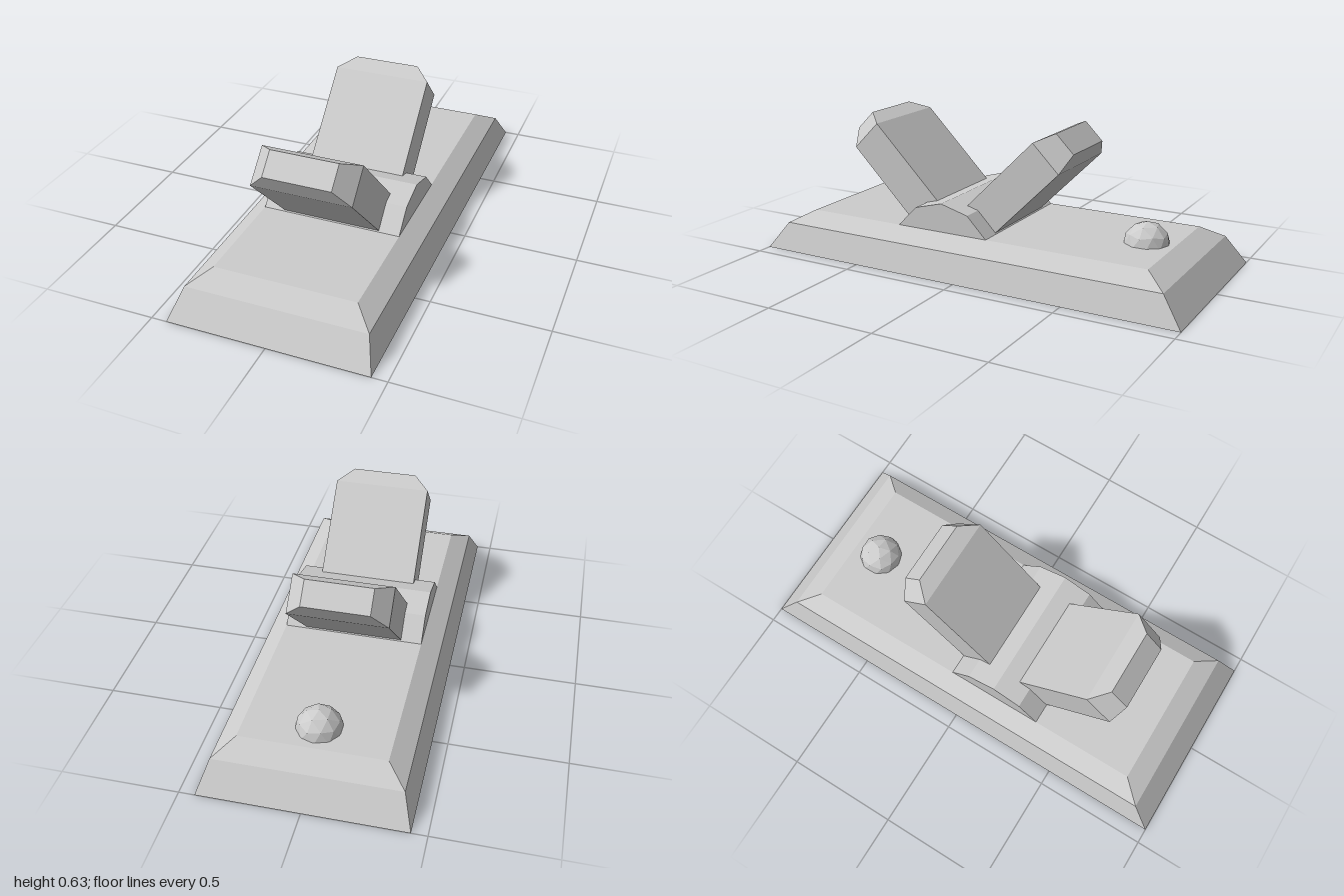
import * as THREE from 'three';

const material = new THREE.MeshStandardMaterial({ color: 0xcccccc, flatShading: true });

// Closed stack of rectangular sections [halfWidth, halfDepth, y], bottom to top.
function rectLoft(sections) {
  const positions = [];
  const rings = sections.map(([w, d, y]) => [[-w, y, d], [w, y, d], [w, y, -d], [-w, y, -d]]);
  const quad = (a, b, c, d) => positions.push(...a, ...b, ...c, ...a, ...c, ...d);
  for (let r = 0; r < rings.length - 1; r++) {
    for (let i = 0; i < 4; i++) {
      const j = (i + 1) % 4;
      quad(rings[r][i], rings[r][j], rings[r + 1][j], rings[r + 1][i]);
    }
  }
  quad(...[...rings[0]].reverse());
  quad(...rings[rings.length - 1]);
  const geometry = new THREE.BufferGeometry();
  geometry.setAttribute('position', new THREE.Float32BufferAttribute(positions, 3));
  geometry.computeVertexNormals();
  return geometry;
}

function part(name, geometry) {
  const mesh = new THREE.Mesh(geometry, material);
  mesh.name = name;
  return mesh;
}

export function createModel() {
  const model = new THREE.Group();
  model.name = 'rockerSwitch';
  const pivotZ = 0.13;

  // Bevelled base plate
  model.add(part('basePlate', rectLoft([
    [0.434, 1, 0], [0.392, 0.91, 0.122], [0.309, 0.815, 0.175],
  ])));

  // Faceted hub across the plate
  const halfHub = 0.309;
  const profile = new THREE.Shape([
    [-0.22, 0.175], [0.22, 0.175], [0.13, 0.267], [0, 0.302], [-0.13, 0.267],
  ].map(([x, y]) => new THREE.Vector2(x, y)));
  const hub = part('hub', new THREE.ExtrudeGeometry(profile, { depth: 2 * halfHub, bevelEnabled: false })
    .translate(0, 0, -halfHub).rotateY(Math.PI / 2));
  hub.position.z = pivotZ;
  model.add(hub);

  // Two mirrored paddles with tapered tips, leaning 45 degrees out of the hub
  const paddleGeometry = rectLoft([[0.217, 0.085, 0.345], [0.217, 0.085, 0.788], [0.146, 0.057, 0.863]]);
  for (const [name, turn] of [['frontPaddle', 0], ['backPaddle', Math.PI]]) {
    const pivot = new THREE.Group();
    pivot.name = name + 'Pivot';
    pivot.position.z = pivotZ;
    pivot.rotation.y = turn;
    const paddle = part(name, paddleGeometry);
    paddle.position.set(0, -0.023, -0.107);
    paddle.rotation.x = Math.PI / 4;
    pivot.add(paddle);
    model.add(pivot);
  }

  // Faceted indicator dome, turned so that one corner points up
  const dome = part('indicatorDome', new THREE.IcosahedronGeometry(0.1, 1)
    .rotateZ(-Math.atan(2 / (1 + Math.sqrt(5)))));
  dome.position.set(0, 0.165, -0.69);
  model.add(dome);

  return model;
}
